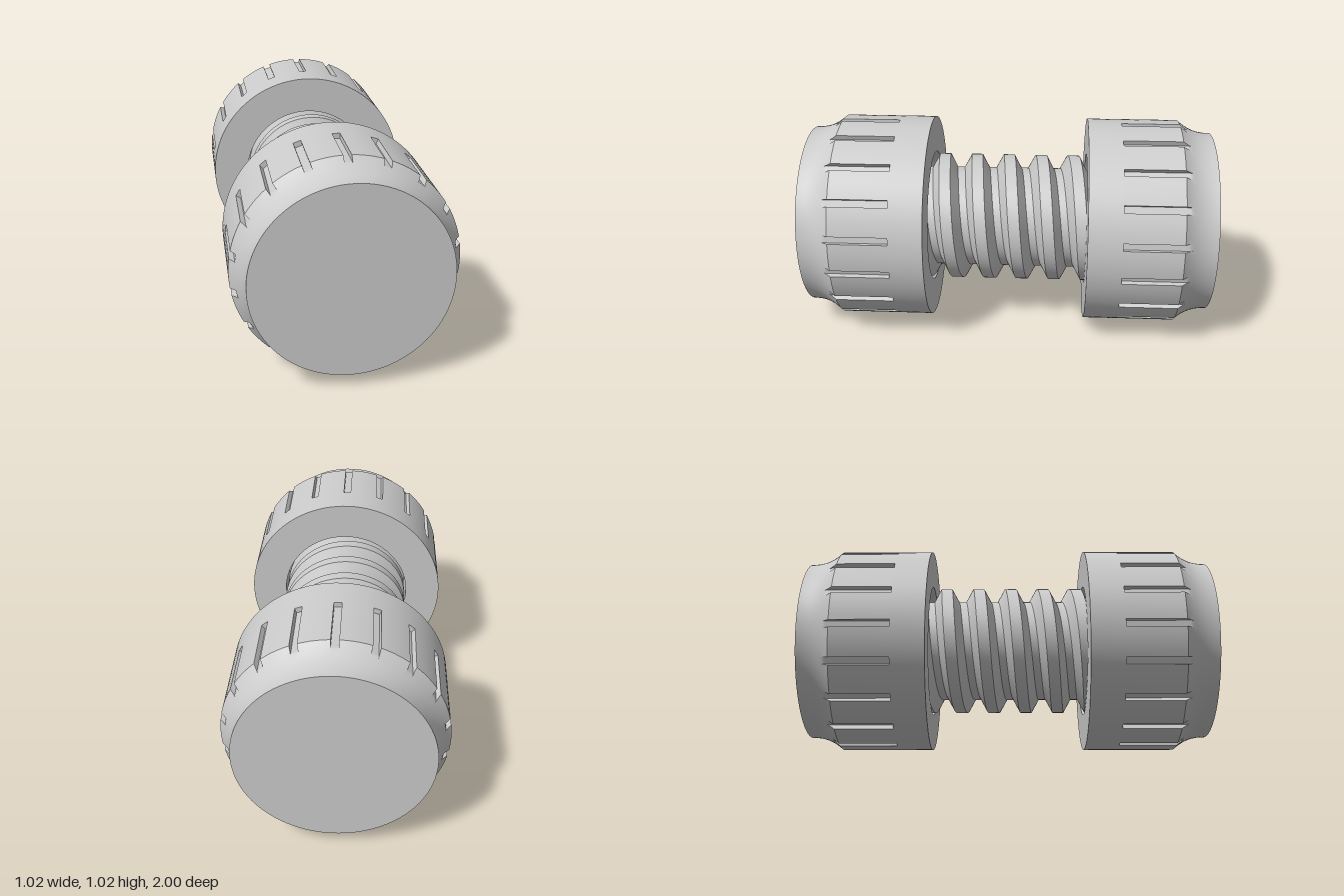
import * as THREE from 'three';
import { toCreasedNormals } from 'three/addons/utils/BufferGeometryUtils.js';

const R = 0.51;            // outer radius of the heads
const GROOVES = 18;
const FLOOR = 0.486;       // radius of the groove bottoms
const HALF_W = 0.018;      // half the groove width
const PITCH = 0.164;

const material = new THREE.MeshStandardMaterial({ color: 0xcccccc });

// Skin a grid of points: rows run along +z, columns run counter-clockwise
function skin(rows) {
  const pos = [];
  const tri = (a, b, c) => {
    const n = b.clone().sub(a).cross(c.clone().sub(a));
    if (n.length() > 1e-9) pos.push(...a, ...b, ...c);
  };
  for (let i = 0; i < rows.length - 1; i++) {
    for (let j = 0; j < rows[i].length - 1; j++) {
      const a = rows[i][j], b = rows[i][j + 1], c = rows[i + 1][j + 1], d = rows[i + 1][j];
      tri(a, b, c);
      tri(a, c, d);
    }
  }
  const geo = new THREE.BufferGeometry();
  geo.setAttribute('position', new THREE.Float32BufferAttribute(pos, 3));
  return toCreasedNormals(geo, Math.PI / 6);
}

const polar = (r, angle, z) => new THREE.Vector3(r * Math.cos(angle), r * Math.sin(angle), z);

// Hollow-mouthed head with grip grooves and a concave shoulder
function headGeometry() {
  const columns = [];
  const step = (Math.PI * 2) / GROOVES;
  const h = HALF_W / R;
  for (let g = 0; g < GROOVES; g++) {
    const mid = Math.PI / 2 + g * step;
    columns.push([mid - h, false], [mid - h, true], [mid + h, true], [mid + h, false]);
    for (let k = 1; k < 5; k++) columns.push([mid + h + ((step - 2 * h) * k) / 5, false]);
  }
  columns.push([Math.PI / 2 + Math.PI * 2 - h, false]);

  // [z, radius, grooved]
  const profile = [
    [0.6, 0, false], [0.6, 0.33, false], [0.385, 0.33, false],
    [0.385, R, false], [0.55, R, false], [0.55, R, true],
  ];
  for (let i = 0; i <= 13; i++) {
    const t = i / 13;
    profile.push([0.835 + 0.165 * t, 0.447 + (R - 0.447) * Math.pow(1 - t, 2.3), true]);
  }
  profile.push([1, 0, false]);

  return skin(profile.map(([z, r, grooved]) =>
    columns.map(([a, inGroove]) => polar(grooved && inGroove ? Math.min(r, FLOOR) : r, a, z))));
}

// Single-start right-handed thread with flat crests and roots
function threadGeometry() {
  const section = [[-0.064, 0.253], [-0.028, 0.32], [0.028, 0.32], [0.064, 0.253]];
  const rows = [];
  for (let turn = -4; turn <= 4; turn++) {
    for (const [dz, r] of section) {
      const row = [];
      for (let j = 0; j <= 72; j++) {
        const f = j / 72;
        row.push(polar(r, f * Math.PI * 2, PITCH * (turn + f - 0.25) + dz));
      }
      rows.push(row);
    }
  }
  return skin(rows);
}

export function createModel() {
  const model = new THREE.Group();
  model.name = 'screwJoint';

  const screw = new THREE.Mesh(threadGeometry(), material);
  screw.name = 'threadedShaft';
  screw.position.y = R;
  model.add(screw);

  // Identical heads facing opposite ways
  const geometry = headGeometry();
  [['frontHead', 0], ['backHead', Math.PI]].forEach(([name, turn]) => {
    const head = new THREE.Mesh(geometry, material);
    head.name = name;
    head.position.y = R;
    head.rotation.y = turn;
    model.add(head);
  });

  return model;
}
